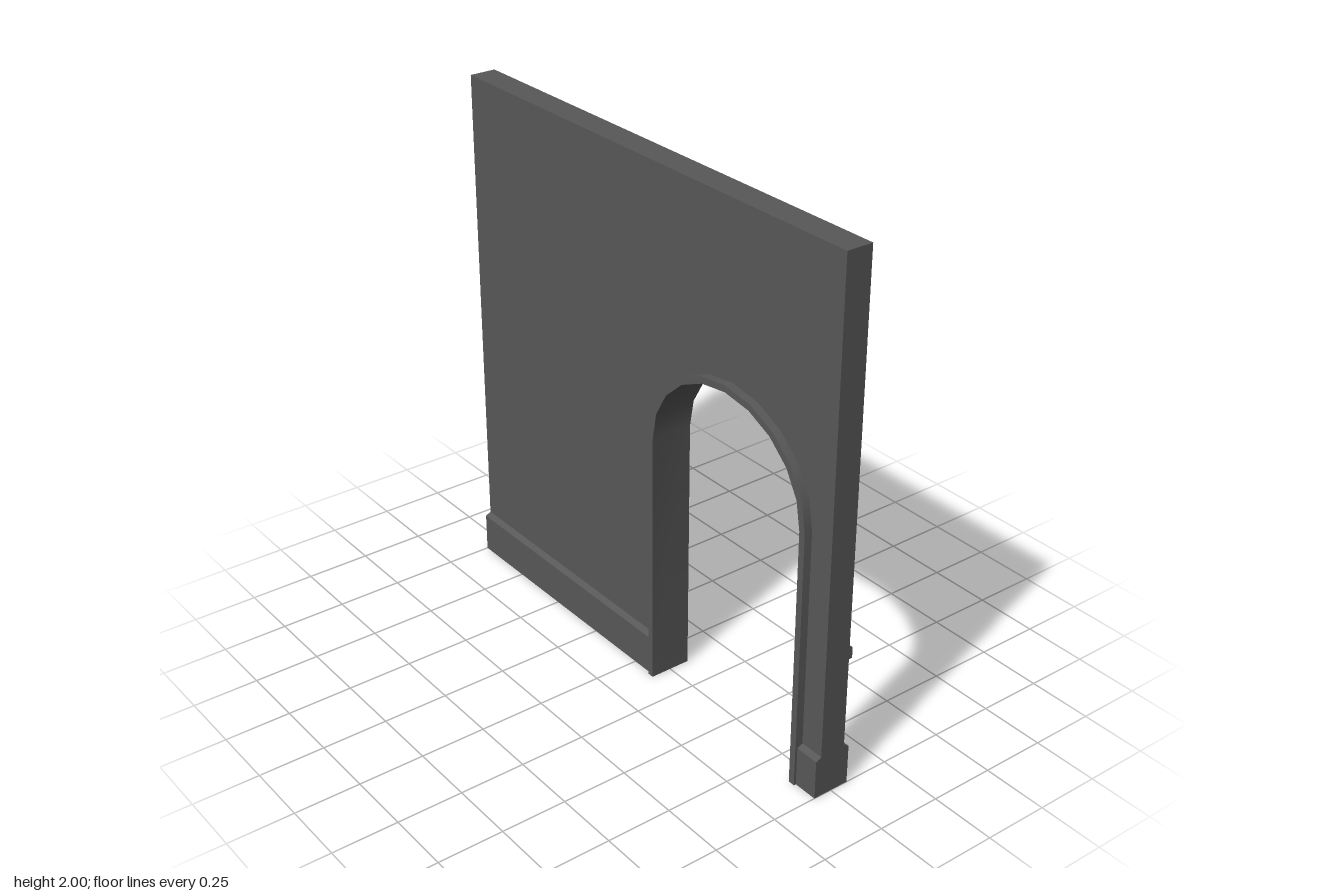
import * as THREE from 'three';
import { toCreasedNormals } from 'three/addons/utils/BufferGeometryUtils.js';

const WALL = 0.051, TRIM = 0.082, CX = 0.498, SPRING = 1.0;
const INNER = { rx: 0.381, ry: 0.34 }, OUTER = { rx: 0.407, ry: 0.365 };

// Arch outline from the left foot over the crown to the right foot
function archPoints({ rx, ry }, segments = 10) {
  const points = [new THREE.Vector2(CX - rx, 0)];
  for (let i = 0; i <= segments; i++) {
    const a = Math.PI * (1 - i / segments);
    points.push(new THREE.Vector2(CX + rx * Math.cos(a), SPRING + ry * Math.sin(a)));
  }
  points.push(new THREE.Vector2(CX + rx, 0));
  return points;
}

export function createModel() {
  const group = new THREE.Group();
  const material = new THREE.MeshStandardMaterial({ color: 0x585858 });

  // Curved arch faces shade smoothly, corners stay sharp
  function add(name, geometry) {
    const mesh = new THREE.Mesh(toCreasedNormals(geometry, Math.PI / 7), material);
    mesh.name = name;
    group.add(mesh);
  }

  // Outline in x/y, extruded evenly to both sides of z = 0
  function slab(name, points, halfDepth) {
    const geometry = new THREE.ExtrudeGeometry(new THREE.Shape(points), { depth: halfDepth * 2, bevelEnabled: false });
    add(name, geometry.translate(0, 0, -halfDepth));
  }

  // Moulding run along x; profile is [distance out of the wall, y], side is +1 front or -1 back
  function moulding(name, profile, side, x0, x1) {
    const points = profile.map(([out, y]) => new THREE.Vector2(-side * (WALL + out), y));
    const geometry = new THREE.ExtrudeGeometry(new THREE.Shape(points), { depth: x1 - x0, bevelEnabled: false });
    add(name, geometry.rotateY(Math.PI / 2).translate(x0, 0, 0));
  }

  // Wall with the doorway cut out
  slab('wall', [
    new THREE.Vector2(-1, 0), ...archPoints(OUTER),
    new THREE.Vector2(1, 0), new THREE.Vector2(1, 2), new THREE.Vector2(-1, 2),
  ], WALL);

  // Arched door lining, standing proud of both faces
  slab('archTrim', [...archPoints(OUTER), ...archPoints(INNER).reverse()], TRIM);

  // Skirting on both faces, rail on the back, either side of the doorway
  const skirting = [[0, 0], [0.022, 0], [0.022, 0.153], [0, 0.164]];
  const rail = [[0, 0.518], [0.014, 0.518], [0.014, 0.56], [0, 0.568]];
  for (const [place, x0, x1] of [['right', -1, CX - OUTER.rx], ['left', CX + OUTER.rx, 1]]) {
    moulding(place + 'FrontSkirting', skirting, 1, x0, x1);
    moulding(place + 'BackSkirting', skirting, -1, x0, x1);
    moulding(place + 'BackRail', rail, -1, x0, x1);
  }

  return group;
}
